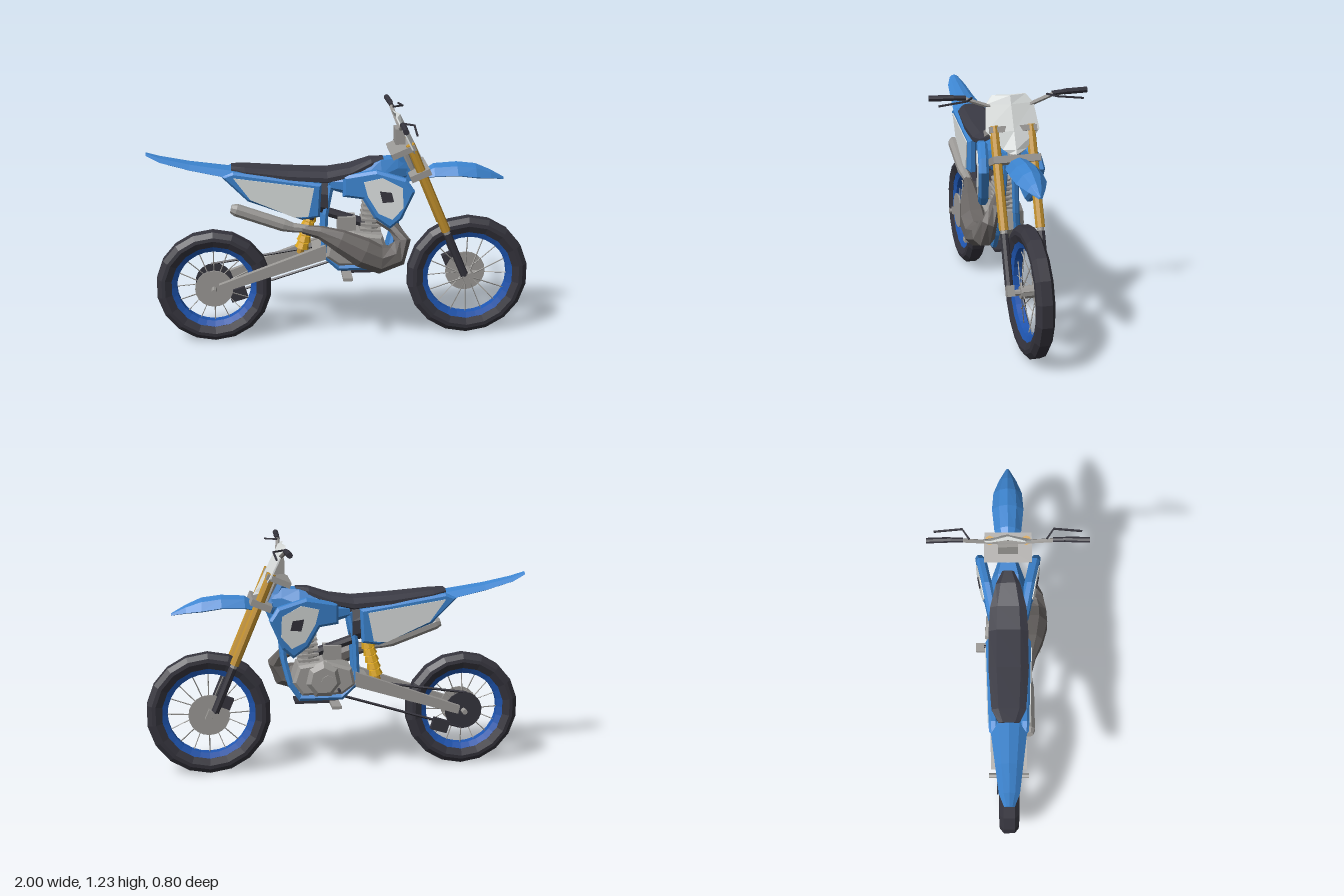
import * as THREE from 'three';

const mat = (name, color) => Object.assign(new THREE.MeshStandardMaterial({ color }), { name });
const M = {
  blue: mat('plasticBlue', 0x3c84cf), rim: mat('rimBlue', 0x1f57b4), rubber: mat('rubberDark', 0x35343d),
  dark: mat('seatDark', 0x3a3a44), metal: mat('metalGrey', 0x9b9996), pipe: mat('exhaustGrey', 0x686462),
  white: mat('panelWhite', 0xd9dddc), gold: mat('forkGold', 0xc4922e), yellow: mat('springYellow', 0xdca61e),
};
const V = (x, y, z = 0) => new THREE.Vector3(x, y, z);

export function createModel() {
  const root = new THREE.Group();
  root.name = 'dirtBike';

  // Faceted mesh with its faces wound outwards
  function add(name, geo, material, parent = root) {
    const g = geo.index ? geo.toNonIndexed() : geo;
    const p = g.attributes.position, a = V(0, 0), b = V(0, 0), c = V(0, 0);
    let vol = 0;
    for (let i = 0; i < p.count; i += 3) {
      a.fromBufferAttribute(p, i); b.fromBufferAttribute(p, i + 1); c.fromBufferAttribute(p, i + 2);
      vol += a.dot(b.cross(c));
    }
    if (vol < 0) for (let i = 0; i < p.count; i += 3) {
      b.fromBufferAttribute(p, i + 1); c.fromBufferAttribute(p, i + 2);
      p.setXYZ(i + 1, c.x, c.y, c.z); p.setXYZ(i + 2, b.x, b.y, b.z);
    }
    g.computeVertexNormals();
    const m = new THREE.Mesh(g, material);
    m.name = name;
    parent.add(m);
    return m;
  }
  // Closed skin over rings of equal point count
  function loft(rings) {
    const n = rings[0].length, pos = [], idx = [];
    rings.forEach(r => r.forEach(v => pos.push(v.x, v.y, v.z)));
    for (let i = 0; i < rings.length - 1; i++) for (let j = 0; j < n; j++) {
      const a = i * n + j, b = i * n + (j + 1) % n;
      idx.push(a, b, a + n, b, b + n, a + n);
    }
    [0, rings.length - 1].forEach((k, end) => {
      const c = rings[k].reduce((s, v) => s.add(v), V(0, 0)).divideScalar(n);
      const ci = pos.push(c.x, c.y, c.z) / 3 - 1;
      for (let j = 0; j < n; j++) {
        const a = k * n + j, b = k * n + (j + 1) % n;
        end ? idx.push(a, b, ci) : idx.push(b, a, ci);
      }
    });
    const g = new THREE.BufferGeometry();
    g.setAttribute('position', new THREE.Float32BufferAttribute(pos, 3));
    g.setIndex(idx);
    return g;
  }
  // Body along x: stations [x, bottom, top, halfWidth], profile [side, height]
  const hull = (stations, profile) => loft(stations.map(([x, lo, hi, w]) =>
    profile.map(([u, v]) => V(x, lo + (hi - lo) * v, u * w))));
  // Pipe along points with a radius per point
  const pipe = (pts, radii, sides = 6, ref = V(0, 0, 1)) => loft(pts.map((p, i) => {
    const t = pts[Math.min(i + 1, pts.length - 1)].clone().sub(pts[Math.max(i - 1, 0)]).normalize();
    const n = ref.clone().cross(t).normalize(), b = t.clone().cross(n);
    const r = Array.isArray(radii) ? radii[i] : radii;
    return Array.from({ length: sides }, (_, k) => {
      const a = (k + 0.5) / sides * Math.PI * 2;
      return p.clone().addScaledVector(n, Math.cos(a) * r).addScaledVector(b, Math.sin(a) * r);
    });
  }));
  function rod(name, a, b, r0, material, r1 = r0, sides = 8, parent = root) {
    const m = add(name, new THREE.CylinderGeometry(r1, r0, a.distanceTo(b), sides), material, parent);
    m.position.copy(a).add(b).multiplyScalar(0.5);
    m.quaternion.setFromUnitVectors(V(0, 1), b.clone().sub(a).normalize());
    return m;
  }
  function box(name, size, at, material, tilt = 0) {
    const m = add(name, new THREE.BoxGeometry(...size), material);
    m.position.set(...at);
    m.rotation.z = tilt;
  }
  // Side plate from an outline, flaring outwards with x
  function side(name, s, pts, material, z0, slope, depth, bevel = 0) {
    const g = new THREE.ExtrudeGeometry(new THREE.Shape(pts.map(p => new THREE.Vector2(...p))),
      { depth, bevelEnabled: bevel > 0, bevelThickness: bevel, bevelSize: bevel, bevelOffset: -bevel, bevelSegments: 1 });
    const p = g.attributes.position;
    for (let i = 0; i < p.count; i++) p.setZ(i, s * (z0 + slope * p.getX(i) + p.getZ(i)));
    add(name, g, material);
  }

  // Wheels
  const ring = (pts, seg) => new THREE.LatheGeometry([...pts, pts[0]].map(p => new THREE.Vector2(...p)), seg).rotateX(Math.PI / 2);
  function wheel(name, x, R, rimR, w) {
    const g = new THREE.Group();
    g.name = name;
    g.position.set(x, R, 0);
    root.add(g);
    add('tyre', ring([[rimR, -w * 0.7], [rimR + 0.035, -w], [R - 0.025, -w * 0.95], [R, -w * 0.55],
      [R, w * 0.55], [R - 0.025, w * 0.95], [rimR + 0.035, w], [rimR, w * 0.7]], 18), M.rubber, g);
    add('rim', ring([[rimR - 0.03, -0.02], [rimR + 0.005, -w * 0.72], [rimR + 0.005, w * 0.72], [rimR - 0.03, 0.02]], 28), M.rim, g);
    rod('hub', V(0, 0, -0.045), V(0, 0, 0.045), 0.032, M.metal, 0.032, 10, g);
    for (let i = 0; i < 16; i++) {
      const a = i / 16 * Math.PI * 2, c = Math.cos(a), s = Math.sin(a);
      rod('spoke', V(c * 0.025, s * 0.025, i % 2 ? 0.035 : -0.035), V(c * (rimR - 0.02), s * (rimR - 0.02), 0), 0.003, M.metal, 0.003, 4, g);
    }
    return g;
  }
  const front = wheel('frontWheel', 0.675, 0.325, 0.245, 0.046);
  const rear = wheel('rearWheel', -0.675, 0.303, 0.225, 0.052);
  rod('frontDisc', V(0, 0, -0.052), V(0, 0, -0.044), 0.108, M.metal, 0.108, 20, front);
  rod('rearDisc', V(0, 0, 0.05), V(0, 0, 0.058), 0.1, M.metal, 0.1, 20, rear);
  rod('sprocket', V(0, 0, -0.064), V(0, 0, -0.056), 0.1, M.rubber, 0.1, 18, rear);
  rod('frontAxle', V(0, 0, -0.11), V(0, 0, 0.11), 0.016, M.metal, 0.016, 8, front);
  rod('rearAxle', V(0, 0, -0.105), V(0, 0, 0.105), 0.014, M.metal, 0.014, 8, rear);
  box('frontCaliper', [0.06, 0.06, 0.035], [0.585, 0.395, -0.062], M.rubber, 0.4);

  // Fork legs, clamps and number plate
  const fork = (y, z) => V(0.42 + 0.42 * (0.89 - y), y, z);
  for (const s of [1, -1]) {
    const z = s * 0.092;
    rod('forkTube', fork(0.6, z), fork(1.07, z), 0.024, M.gold);
    rod('forkCollar', fork(0.57, z), fork(0.62, z), 0.018, M.metal);
    rod('forkSlider', fork(0.35, z), fork(0.585, z), 0.021, M.rubber);
    box('axleLug', [0.05, 0.055, 0.035], [0.665, 0.333, z], M.metal, 0.4);
  }
  box('upperClamp', [0.13, 0.03, 0.24], [0.31, 1.035, 0], M.metal, 0.4);
  box('lowerClamp', [0.11, 0.035, 0.24], [0.4, 0.91, 0], M.metal, 0.4);
  rod('steeringStem', V(0.375, 0.88), V(0.31, 1.04), 0.025, M.metal);
  box('barMount', [0.05, 0.08, 0.1], [0.3, 1.1, 0], M.metal);
  const plate = [[0.945, 0.03], [0.965, 0.06], [1.05, 0.135], [1.17, 0.12], [1.21, 0.085]];
  add('numberPlate', loft(plate.map(([y, w]) => {
    const x = 0.435 - (y - 0.945) * 0.5;
    return [V(x, y, 0), V(x - 0.025, y, w), V(x - 0.033, y, w), V(x - 0.008, y, 0), V(x - 0.033, y, -w), V(x - 0.025, y, -w)];
  })), M.white);

  // Handlebar, grips and levers
  const half = [[0.285, 1.21, 0.3], [0.285, 1.2, 0.22], [0.295, 1.165, 0.12], [0.3, 1.145, 0.05]];
  add('handlebar', pipe([...half.map(p => V(...p)), ...half.slice().reverse().map(([x, y, z]) => V(x, y, -z))], 0.011, 6, V(1, 0)), M.metal);
  for (const s of [1, -1]) {
    rod('grip', V(0.285, 1.21, s * 0.28), V(0.28, 1.212, s * 0.4), 0.015, M.rubber);
    rod('switchSleeve', V(0.285, 1.205, s * 0.22), V(0.285, 1.21, s * 0.285), 0.013, M.rubber);
    add('lever', pipe([V(0.29, 1.205, s * 0.19), V(0.345, 1.203, s * 0.225), V(0.34, 1.185, s * 0.365)], 0.006, 4, V(0, 1)), M.rubber);
  }

  // Fenders, tank and seat
  const crown = [[0, 1], [0.55, 0.75], [1, 0.1], [0.85, 0], [0, 0.5], [-0.85, 0], [-1, 0.1], [-0.55, 0.75]];
  add('frontFender', hull([[0.42, 0.87, 0.905, 0.045], [0.48, 0.885, 0.945, 0.07], [0.6, 0.89, 0.952, 0.082],
    [0.7, 0.875, 0.94, 0.075], [0.78, 0.865, 0.905, 0.045], [0.855, 0.85, 0.862, 0.008]], crown), M.blue);
  add('rearFender', hull([[-1, 1.022, 1.036, 0.025], [-0.93, 0.99, 1.015, 0.05], [-0.78, 0.95, 0.985, 0.068],
    [-0.58, 0.91, 0.956, 0.092], [-0.35, 0.88, 0.93, 0.1], [-0.12, 0.86, 0.91, 0.09]], crown), M.blue);
  const block = [[0.6, 1], [1, 0.6], [1, 0.2], [0.7, 0], [-0.7, 0], [-1, 0.2], [-1, 0.6], [-0.6, 1]];
  add('tank', hull([[-0.06, 0.83, 0.91, 0.075], [0.08, 0.79, 0.945, 0.1], [0.2, 0.8, 0.978, 0.085],
    [0.29, 0.86, 0.985, 0.05], [0.34, 0.87, 0.965, 0.03]], block), M.blue);
  add('seat', hull([[-0.57, 0.935, 0.962, 0.05], [-0.5, 0.92, 0.957, 0.085], [-0.28, 0.885, 0.938, 0.1],
    [-0.08, 0.87, 0.927, 0.1], [0.04, 0.895, 0.945, 0.092], [0.15, 0.945, 0.984, 0.062], [0.215, 0.968, 0.988, 0.03]], block), M.dark);
  add('airbox', hull([[-0.48, 0.83, 0.91, 0.06], [-0.25, 0.74, 0.9, 0.08], [-0.075, 0.7, 0.88, 0.075]], block), M.dark);

  // Side panels and shrouds
  const panel = [[-0.62, 0.92], [-0.56, 0.945], [-0.11, 0.875], [-0.12, 0.7], [-0.21, 0.685], [-0.49, 0.79]];
  const panelPatch = [[-0.56, 0.916], [-0.15, 0.858], [-0.18, 0.707], [-0.25, 0.702], [-0.475, 0.8]];
  const shroud = [[0, 0.8], [0, 0.91], [0.17, 0.945], [0.32, 0.905], [0.365, 0.84], [0.3, 0.69], [0.24, 0.635], [0.16, 0.69], [0.1, 0.79]];
  const shroudPatch = [[0.105, 0.885], [0.2, 0.91], [0.3, 0.86], [0.305, 0.755], [0.25, 0.69], [0.18, 0.72], [0.125, 0.81]];
  const vent = [[0.185, 0.84], [0.245, 0.835], [0.257, 0.787], [0.2, 0.78]];
  for (const s of [1, -1]) {
    side('sidePanel', s, panel, M.blue, 0.085, 0.035, 0.022, 0.012);
    side('sidePanelPatch', s, panelPatch, M.white, 0.118, 0.035, 0.006);
    side('shroud', s, shroud, M.blue, 0.062, 0.2, 0.024, 0.014);
    side('shroudPatch', s, shroudPatch, M.white, 0.099, 0.2, 0.006);
    side('shroudVent', s, vent, M.rubber, 0.105, 0.2, 0.004);
    // Frame cradle and swingarm
    add('frameRail', pipe([V(0.31, 0.93, s * 0.02), V(0.28, 0.6, s * 0.04), V(0.25, 0.48, s * 0.055), V(0.2, 0.402, s * 0.055),
      V(-0.02, 0.402, s * 0.055), V(-0.1, 0.48, s * 0.06), V(-0.09, 0.7, s * 0.06), V(-0.06, 0.85, s * 0.05)], 0.018), M.blue);
    side('swingarm', s, [[-0.09, 0.54], [-0.09, 0.462], [-0.64, 0.293], [-0.65, 0.335]], M.metal, 0.066, 0, 0.03);
    box('footPeg', [0.05, 0.016, 0.115], [0.02, 0.375, s * 0.117], M.metal);
  }
  box('swingarmBrace', [0.06, 0.06, 0.15], [-0.12, 0.49, 0], M.metal, 0.3);
  rod('headTube', V(0.285, 1.0), V(0.36, 0.86), 0.033, M.blue);
  box('skidPlate', [0.23, 0.014, 0.11], [0.11, 0.376, 0], M.rubber);

  // Engine
  side('crankcase', 1, [[-0.09, 0.47], [-0.02, 0.42], [0.19, 0.42], [0.24, 0.49], [0.21, 0.58], [0.06, 0.6], [-0.07, 0.56]], M.metal, -0.075, 0, 0.15, 0.015);
  const cover = add('engineCover', new THREE.CylinderGeometry(0.07, 0.1, 0.035, 7), M.metal);
  cover.rotation.x = -Math.PI / 2;
  cover.position.set(0.08, 0.505, -0.1);
  rod('coverCap', V(0.06, 0.5, -0.11), V(0.06, 0.5, -0.125), 0.035, M.metal);
  rod('shiftLever', V(0.0, 0.45, -0.08), V(0.0, 0.45, -0.13), 0.008, M.rubber);
  rod('cylinder', V(0.15, 0.56), V(0.165, 0.75), 0.042, M.metal);
  for (let i = 0; i < 6; i++) box('coolingFin', [0.11, 0.012, 0.1], [0.15 + i * 0.003, 0.6 + i * 0.027, 0], M.metal, -0.08);
  box('carburettor', [0.095, 0.075, 0.08], [0.025, 0.635, 0], M.metal);
  rod('intake', V(-0.09, 0.7), V(0.12, 0.63), 0.025, M.rubber);

  // Exhaust chamber and silencer
  add('exhaustChamber', pipe([V(0.19, 0.66, 0.03), V(0.27, 0.62, 0.07), V(0.31, 0.56, 0.11), V(0.275, 0.49, 0.13), V(0.19, 0.47, 0.135),
    V(0.1, 0.51, 0.135), V(-0.02, 0.575, 0.125), V(-0.12, 0.618, 0.11), V(-0.21, 0.635, 0.1)],
    [0.025, 0.033, 0.045, 0.064, 0.076, 0.08, 0.06, 0.035, 0.022], 8), M.pipe);
  add('silencer', pipe([V(-0.18, 0.635, 0.1), V(-0.26, 0.645, 0.1), V(-0.31, 0.66, 0.1), V(-0.55, 0.748, 0.1), V(-0.575, 0.755, 0.1)],
    [0.02, 0.025, 0.033, 0.033, 0.022], 8), M.metal);

  // Rear shock
  rod('shockBody', V(-0.22, 0.47), V(-0.15, 0.74), 0.018, M.gold);
  for (let i = 0; i < 5; i++) {
    const p = i * 0.2;
    rod('springCoil', V(-0.21 + p * 0.05, 0.5 + p * 0.19), V(-0.202 + p * 0.05, 0.53 + p * 0.19), 0.038, M.yellow, 0.03);
  }
  rod('shockReservoir', V(-0.17, 0.67, 0.03), V(-0.14, 0.74, 0.03), 0.024, M.rubber);

  // Chain and chain guide
  rod('chainLower', V(-0.66, 0.21, -0.06), V(-0.03, 0.405, -0.06), 0.007, M.rubber, 0.007, 4);
  rod('chainUpper', V(-0.69, 0.4, -0.06), V(-0.03, 0.5, -0.06), 0.007, M.rubber, 0.007, 4);
  box('chainGuide', [0.09, 0.065, 0.03], [-0.55, 0.225, -0.06], M.rubber, 0.29);

  // Sit exactly on the ground and centre lengthwise
  const b = new THREE.Box3().setFromObject(root, true), c = b.getCenter(V(0, 0));
  root.children.forEach(o => { o.position.x -= c.x; o.position.y -= b.min.y; });
  return root;
}
